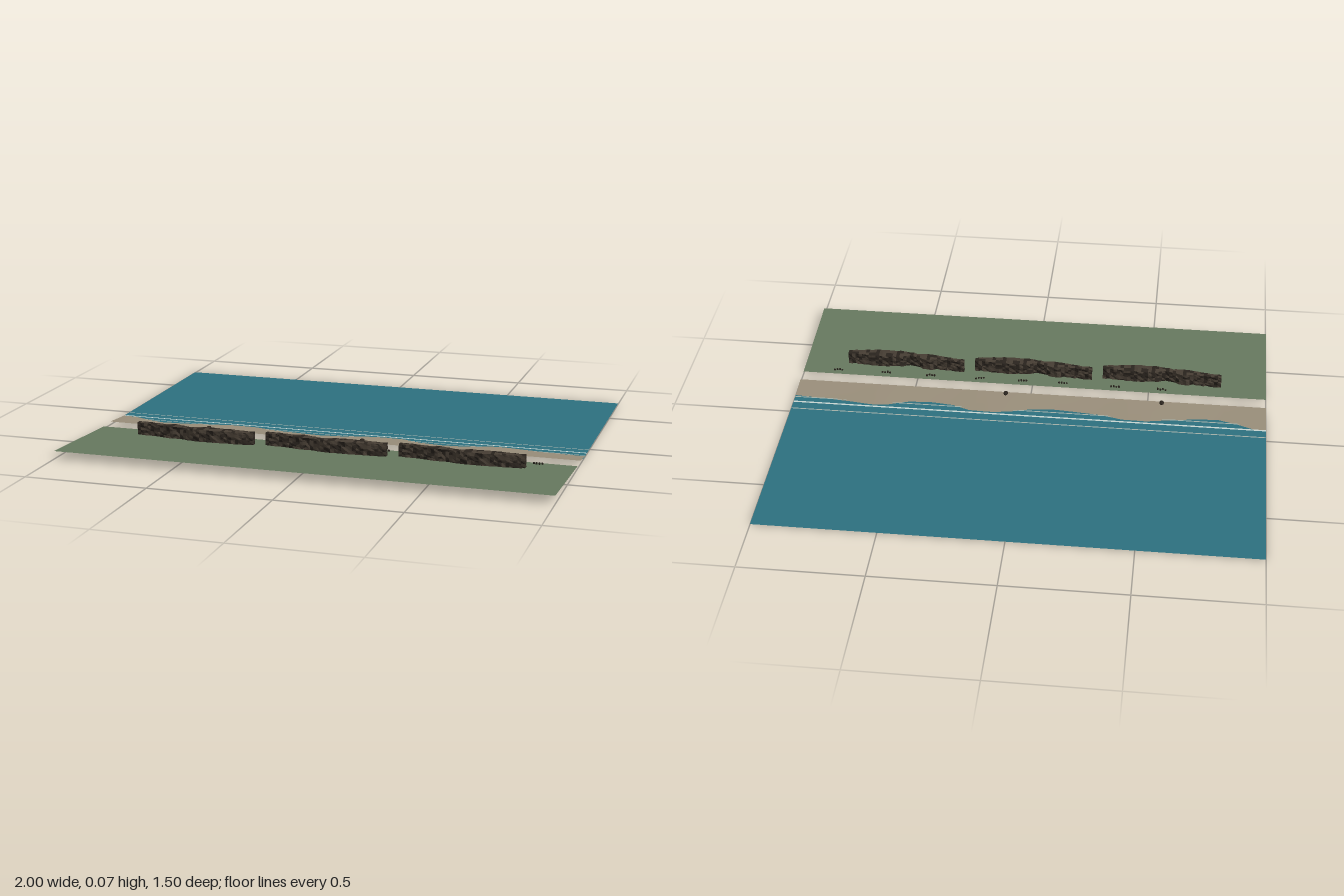
import * as THREE from 'three';

const mat = (name, color, side = THREE.FrontSide) => {
  const m = new THREE.MeshStandardMaterial({ color, side });
  m.name = name;
  return m;
};

// Repeatable value in 0..1
const hash = (i, j = 0) => {
  const s = Math.sin(i * 127.1 + j * 311.7) * 43758.5453;
  return s - Math.floor(s);
};

// Skin a grid of points, rows[i][j] = [x, y, z]
function skin(rows) {
  const pos = [], idx = [], n = rows[0].length;
  rows.forEach(r => r.forEach(p => pos.push(...p)));
  for (let i = 0; i < rows.length - 1; i++) {
    for (let j = 0; j < n - 1; j++) {
      const a = i * n + j, b = a + n;
      idx.push(a, a + 1, b, b, a + 1, b + 1);
    }
  }
  const g = new THREE.BufferGeometry();
  g.setAttribute('position', new THREE.Float32BufferAttribute(pos, 3));
  g.setIndex(idx);
  g.computeVertexNormals();
  return g;
}

// Piecewise-linear lookup in rows of [t, a, b, ...]
function sample(table, t, k) {
  let i = 0;
  while (i < table.length - 2 && t > table[i + 1][0]) i++;
  const p = table[i], q = table[i + 1];
  return THREE.MathUtils.lerp(p[k], q[k], THREE.MathUtils.clamp((t - p[0]) / (q[0] - p[0]), 0, 1));
}

// Shoreline: x, z
const SHORE = [[-1, 0.072], [-0.95, 0.072], [-0.88, 0.1], [-0.8, 0.124], [-0.7, 0.117], [-0.6, 0.1],
  [-0.5, 0.082], [-0.4, 0.084], [-0.3, 0.107], [-0.2, 0.117], [-0.1, 0.125], [0, 0.113], [0.08, 0.09],
  [0.16, 0.08], [0.25, 0.084], [0.32, 0.112], [0.42, 0.124], [0.52, 0.116], [0.6, 0.086], [0.66, 0.08],
  [0.76, 0.093], [0.88, 0.104], [1, 0.113]];

// Wall plan: x from its left end, back z, front z
const WALL = [[0, 0.343, 0.365], [0.06, 0.348, 0.371], [0.12, 0.354, 0.382], [0.16, 0.345, 0.388],
  [0.2, 0.359, 0.386], [0.24, 0.369, 0.396], [0.28, 0.356, 0.403], [0.34, 0.353, 0.401],
  [0.4, 0.353, 0.397], [0.45, 0.359, 0.392], [0.51, 0.36, 0.385]];

const SEA_Y = 0.003;
const grassY = z => 0.01 + (z - 0.28) * 0.049;

// Rough stone wall: ragged cross-sections lofted along x, stones in two tones
function wallGeometry() {
  const rows = [], steps = 34, length = 0.51;
  for (let i = 0; i <= steps; i++) {
    const t = i / steps * length;
    const b = sample(WALL, t, 1), f = sample(WALL, t, 2), row = [];
    const r = j => (hash(i + 1, j) - 0.5) * 0.007;
    for (let j = 0; j <= 5; j++) row.push([t, 0.012 + j * 0.0106 + (j % 5 ? r(j) : 0), f + r(j + 10)]);
    row.push([t, 0.066 + r(20) * 0.6, (b + f) / 2]);
    for (let j = 5; j >= 0; j--) row.push([t, 0.012 + j * 0.0106 + (j % 5 ? r(j + 30) : 0), b + r(j + 40)]);
    row.push([...row[0]]);
    rows.push(row);
  }
  // close both ends
  const cap = row => row.map(() => [row[0][0], 0.04, (row[0][2] + row[9][2]) / 2]);
  const g = skin([cap(rows[0]), ...rows, cap(rows[steps])]);
  // winding runs front, top, back, so flip it to face outward
  const ix = g.index.array;
  for (let k = 0; k < ix.length; k += 3) [ix[k + 1], ix[k + 2]] = [ix[k + 2], ix[k + 1]];
  const flat = g.toNonIndexed();
  flat.computeVertexNormals();
  for (let q = 0; q < ix.length / 6; q++) flat.addGroup(q * 6, 6, hash(q, 7) < 0.45 ? 0 : 1);
  return flat;
}

export function createModel() {
  const model = new THREE.Group();
  const D = THREE.DoubleSide;
  const sea = mat('sea teal', 0x2d7180, D);
  const sand = mat('sand', 0x998e7a, D);
  const grass = mat('grass green', 0x67795f, D);
  const foam = mat('foam', 0xc9d6d2, D);
  const paleFoam = mat('thin foam', 0xa3b0a8, D);
  const stoneDark = mat('dark stone', 0x2a241e, D);
  const stoneLight = mat('brown stone', 0x463d33, D);
  stoneDark.flatShading = stoneLight.flatShading = true;

  const add = (name, geo, material, x = 0, y = 0, z = 0) => {
    const m = new THREE.Mesh(geo, material);
    m.name = name;
    m.position.set(x, y, z);
    model.add(m);
    return m;
  };
  const strip = (z0, z1, y0, y1) =>
    skin([[[-1, y0, z0], [-1, y1, z1]], [[1, y0, z0], [1, y1, z1]]]);

  // Sea sheet, foam lines and sloping grass bank
  add('sea', strip(-0.75, 0.15, SEA_Y, SEA_Y), sea);
  [[0.02, 0.006, paleFoam], [0.068, 0.009, foam], [0.103, 0.006, paleFoam]].forEach(([z, w, m]) =>
    add('foamLine', strip(z - w / 2, z + w / 2, SEA_Y + 0.0006, SEA_Y + 0.0006), m));
  add('grassBank', strip(0.28, 0.75, grassY(0.28), grassY(0.75)), grass);

  // Beach dipping under the sea along a wavy shoreline
  const rows = [];
  for (let i = 0; i <= 80; i++) {
    const x = -1 + i / 40, z = sample(SHORE, x, 1);
    rows.push([[x, 0, z - 0.04], [x, SEA_Y, z], [x, 0.0085, z + (0.215 - z) * 0.5], [x, 0.014, 0.215]]);
  }
  add('beach', skin(rows), sand);

  // Three lengths of wall on the bank
  const wall = wallGeometry();
  [-0.808, -0.252, 0.304].forEach(x => add('stoneWall', wall, [stoneDark, stoneLight], x));

  // Rocks on the beach
  const rock = new THREE.IcosahedronGeometry(1, 1);
  [-0.56, 0.105].forEach(x =>
    add('beachRock', rock, stoneDark, x, 0.019, 0.2).scale.set(0.01, 0.007, 0.014));

  // Small pebble clusters along the foot of the bank
  const pebble = new THREE.IcosahedronGeometry(1, 0);
  [-0.555, -0.355, -0.13, 0.045, 0.23, 0.445, 0.64, 0.85].forEach((x, i) => {
    for (let k = 0; k < 4; k++) {
      const z = 0.3 + hash(i, k) * 0.008;
      add('pebble', pebble, stoneDark, x - 0.017 + k * 0.011, grassY(z) + 0.004, z)
        .scale.set(0.005, 0.004 + hash(k, i) * 0.004, 0.004);
    }
  });
  return model;
}
